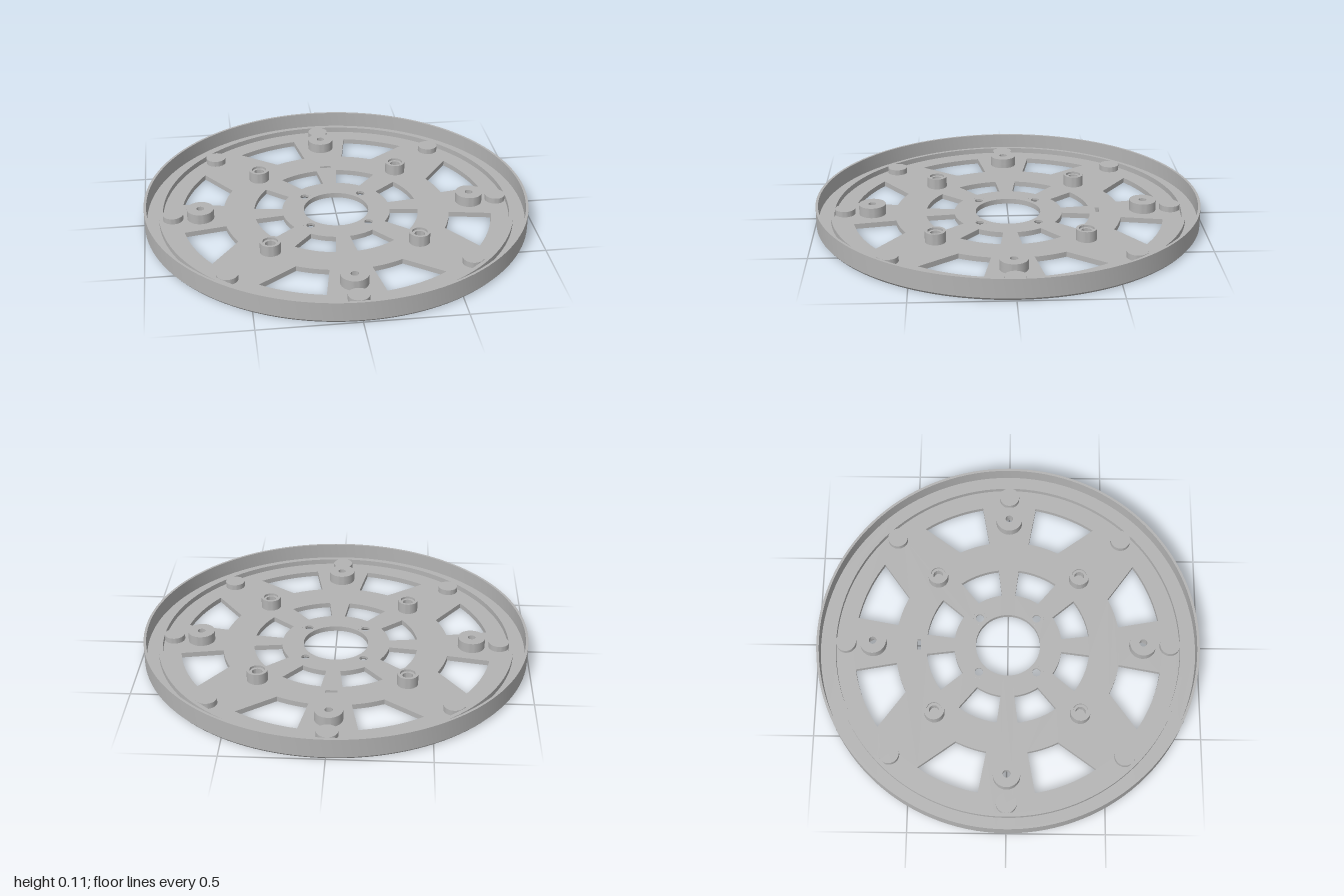
import * as THREE from 'three';
import { toCreasedNormals } from 'three/addons/utils/BufferGeometryUtils.js';

const FLOOR = 0.027; // plate thickness
const TAU = Math.PI * 2;

export function createModel() {
  const model = new THREE.Group();
  const grey = new THREE.MeshStandardMaterial({ color: 0xb3b3b3, side: THREE.DoubleSide });
  grey.name = 'plain grey';

  const add = (name, geometry, x = 0, y = 0, z = 0) => {
    const mesh = new THREE.Mesh(toCreasedNormals(geometry, 0.6), grey);
    mesh.name = name;
    mesh.position.set(x, y, z);
    model.add(mesh);
  };
  const lathe = (pts, segments) =>
    new THREE.LatheGeometry(pts.map(([r, y]) => new THREE.Vector2(r, y)), segments);
  const circle = (r, x = 0, y = 0) => new THREE.Path().absarc(x, y, r, 0, TAU, false);
  const hexagon = (r, x = 0, y = 0) => {
    const pts = [];
    for (let i = 0; i < 6; i++) {
      pts.push(new THREE.Vector2(x + r * Math.cos(i * TAU / 6), y + r * Math.sin(i * TAU / 6)));
    }
    return new THREE.Path(pts);
  };
  // Flat slab lying on the ground, with holes through it
  const slab = (radius, holes, depth, curveSegments) => {
    const shape = new THREE.Shape().absarc(0, 0, radius, 0, TAU, false);
    shape.holes.push(...holes);
    return new THREE.ExtrudeGeometry(shape, { depth, curveSegments, bevelEnabled: false })
      .rotateX(-Math.PI / 2);
  };
  // Four-sided window with arcs for its inner and outer edges, from polar corners
  const windowPath = (rIn, rOut, in0, in1, out0, out1) => {
    const pts = [];
    const n = 10;
    const arc = (r, a, b) => {
      for (let i = 0; i <= n; i++) {
        const t = a + (b - a) * i / n;
        pts.push(new THREE.Vector2(r * Math.cos(t), r * Math.sin(t)));
      }
    };
    arc(rOut, out0, out1);
    arc(rIn, in1, in0);
    return new THREE.Path(pts);
  };
  const polar = (count, r, start = 0) => Array.from({ length: count }, (_, i) => {
    const a = start + i * TAU / count;
    return [r * Math.cos(a), r * Math.sin(a)];
  });

  const pads = polar(8, 0.853);
  const mounts = polar(4, 0.71);
  const posts = polar(4, 0.533, Math.PI / 4);
  const screws = polar(4, 0.213, Math.PI / 4);

  // Windows, mirrored in pairs about each quarter's diagonal
  const holes = [circle(0.17)];
  const deg = Math.PI / 180;
  for (let q = 0; q < 4; q++) {
    const base = q * 90 * deg;
    for (const [origin, s] of [[base, 1], [base + 90 * deg, -1]]) {
      const a = (d) => origin + s * d * deg;
      holes.push(windowPath(0.592, 0.81, a(10.3), a(26.5), a(10.3), a(34.3)));
      holes.push(windowPath(0.283, 0.43, a(7.2), a(34), a(7.2), a(36)));
    }
  }
  // Nut pockets, screw holes and the small slot
  for (const [x, y] of [...pads, ...mounts]) holes.push(hexagon(0.033, x, y));
  for (const [x, y] of screws) holes.push(circle(0.036, x, y));
  holes.push(new THREE.Path([[-0.03, 0.46], [0.03, 0.46], [0.03, 0.48], [-0.03, 0.48]]
    .map(([x, y]) => new THREE.Vector2(x, y))));
  add('basePlate', slab(0.98, holes, FLOOR, 64));

  // Outer wall with a chamfered foot
  add('outerRim', lathe([[0.975, 0], [0.99, 0], [1, 0.012], [1, 0.11], [0.987, 0.11],
    [0.987, FLOOR], [0.975, FLOOR]], 128));

  // Raised lip inside the wall
  add('innerLip', lathe([[0.925, FLOOR], [0.925, 0.055], [0.905, 0.055], [0.905, FLOOR]], 128));

  // Low round pads with blind nut pockets below
  for (const [x, y] of pads) {
    add('padBody', slab(0.053, [hexagon(0.033)], 0.02, 24), x, FLOOR, -y);
    add('padCap', new THREE.CylinderGeometry(0.053, 0.053, 0.01, 48), x, 0.052, -y);
  }

  // Wide mounts with a bolt hole over the nut pocket
  for (const [x, y] of mounts) {
    add('mountBody', slab(0.07, [hexagon(0.033)], 0.02, 24), x, FLOOR, -y);
    add('mountTop', slab(0.07, [circle(0.02)], 0.033, 24), x, 0.047, -y);
  }

  // Tall posts with a stepped blind bore
  for (const [x, y] of posts) {
    add('post', lathe([[0.053, FLOOR], [0.053, 0.085], [0.039, 0.085], [0.039, 0.073],
      [0.026, 0.073], [0.026, 0.03], [0, 0.03]], 40), x, 0, -y);
  }

  // Countersunk screw holes around the hub
  for (const [x, y] of screws) {
    add('screwSeat', lathe([[0.036, FLOOR], [0.022, FLOOR], [0.022, 0.014], [0.036, 0]], 32), x, 0, -y);
  }

  return model;
}
